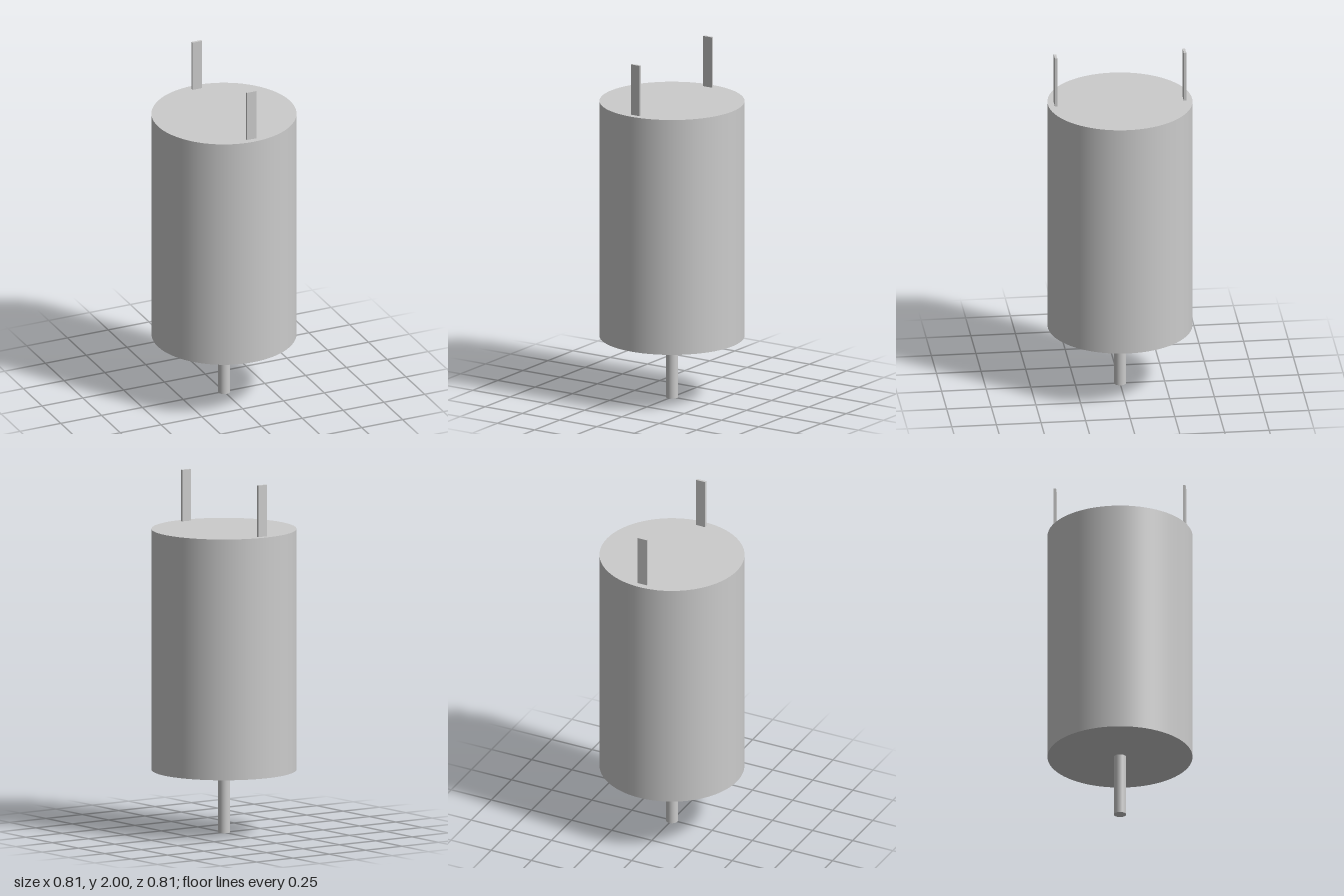
import * as THREE from 'three';

export function createModel() {
  const group = new THREE.Group();
  const material = new THREE.MeshStandardMaterial({ color: 0xcccccc });

  const add = (name, geometry, y, z = 0) => {
    const mesh = new THREE.Mesh(geometry, material);
    mesh.name = name;
    mesh.position.set(0, y, z);
    group.add(mesh);
  };
  const bottom = 0.354, top = 1.71, height = top - bottom;

  // Cylindrical motor can
  add('body', new THREE.CylinderGeometry(0.404, 0.404, height, 72), bottom + height / 2);

  // Output shaft below the can
  add('shaft', new THREE.CylinderGeometry(0.034, 0.034, bottom, 32), bottom / 2);

  // Flat terminals standing on the top, front and back
  for (const [name, side] of [['frontTerminal', 1], ['backTerminal', -1]]) {
    add(name, new THREE.BoxGeometry(0.058, 2 - top, 0.014), (2 + top) / 2, side * 0.361);
  }

  return group;
}
